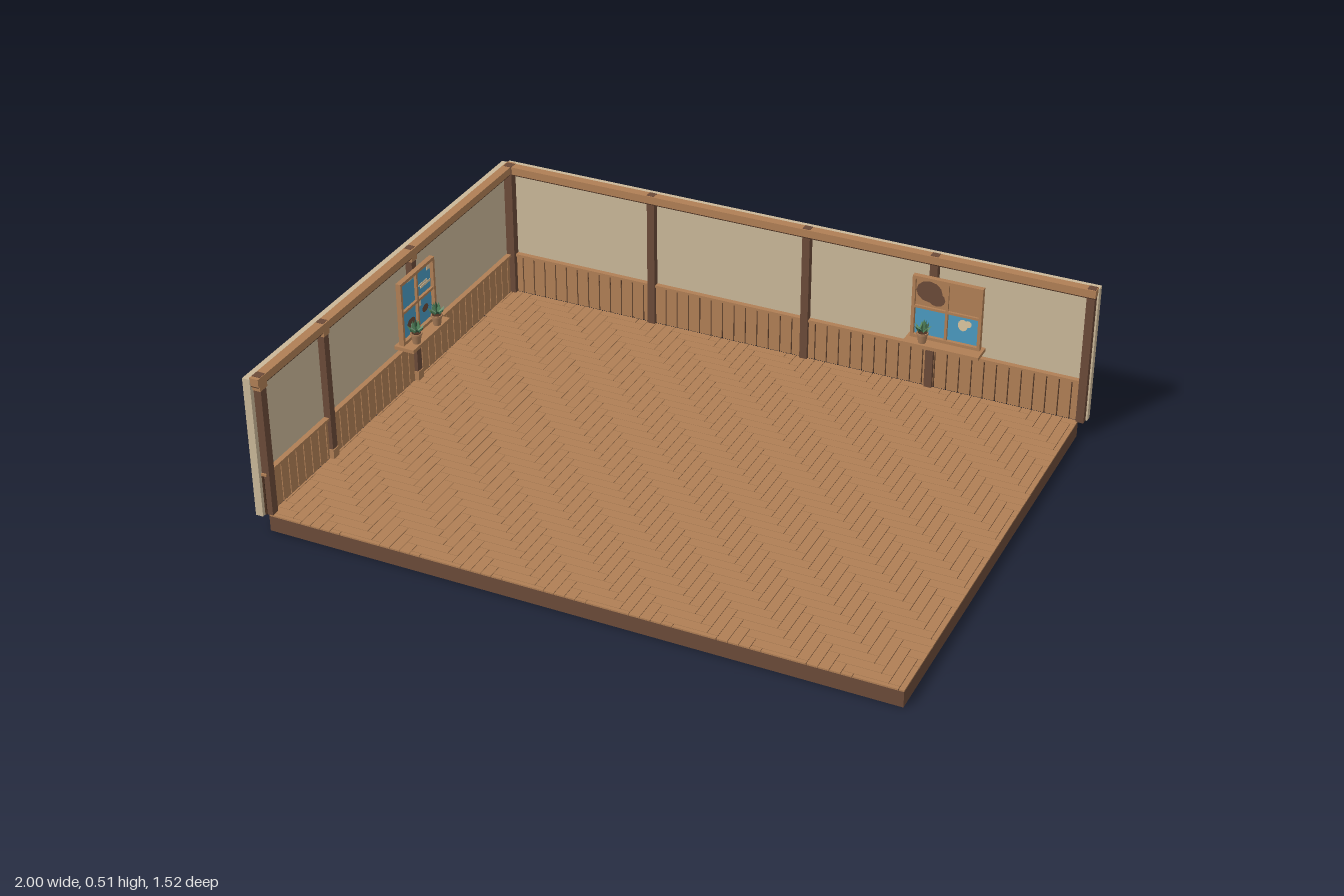
import * as THREE from 'three';
import { mergeGeometries } from 'three/addons/utils/BufferGeometryUtils.js';

const mat = (name, color, side = THREE.FrontSide) => {
  const m = new THREE.MeshStandardMaterial({ color, side });
  m.name = name;
  return m;
};

export function createModel() {
  const room = new THREE.Group();
  room.name = 'room';
  const plaster = mat('plaster', 0xcab798);
  const wood = mat('warm wood', 0xb07f55);
  const dark = mat('dark wood', 0x6b4a38);
  const groove = mat('groove', 0x4a3122);
  const sky = mat('sky blue', 0x4a9ac0);
  const cloud = mat('cloud', 0xdcc6a0);
  const clay = mat('clay', 0xa87c58);
  const leafGreen = mat('leaf green', 0x4f8058, THREE.DoubleSide);
  const leafDark = mat('deep leaf green', 0x33593f, THREE.DoubleSide);

  // Box given by its limits on each axis
  const boxGeo = (x0, x1, y0, y1, z0, z1) =>
    new THREE.BoxGeometry(x1 - x0, y1 - y0, z1 - z0)
      .translate((x0 + x1) / 2, (y0 + y1) / 2, (z0 + z1) / 2);
  const add = (parent, name, geo, material) => {
    const m = new THREE.Mesh(geo, material);
    m.name = name;
    parent.add(m);
    return m;
  };
  const box = (parent, name, material, ...b) => add(parent, name, boxGeo(...b), material);

  // Floor slab and its dark joint layer
  box(room, 'floorBase', dark, -0.965, 0.975, 0, 0.05, -0.725, 0.745);
  box(room, 'floorJoints', groove, -0.962, 0.972, 0.05, 0.0525, -0.722, 0.742);

  // Herringbone planks, four cells long, clipped to the floor
  const W = 0.0325, gap = 0.0009, planks = [];
  const plank = (x, z, w, d) => {
    const x0 = Math.max(x + gap, -0.965), x1 = Math.min(x + w - gap, 0.975);
    const z0 = Math.max(z + gap, -0.725), z1 = Math.min(z + d - gap, 0.745);
    if (x1 - x0 > 0.002 && z1 - z0 > 0.002) planks.push(boxGeo(x0, x1, 0.05, 0.055, z0, z1));
  };
  for (let i = -9; i < 58; i++) {
    for (let j = -40; j < 14; j++) {
      const k = (((i - j) % 8) + 8) % 8;
      const x = -0.8285 + i * W, z = 0.375 + j * W;
      if (k === 0) plank(x, z, 4 * W, W);
      if (k === 7) plank(x, z, W, 4 * W);
    }
  }
  add(room, 'floorPlanks', mergeGeometries(planks), wood);

  // A wall in its own frame: inside faces +z, outer face at z = 0
  function wall(name, x0, x1, postXs, brackets) {
    const g = new THREE.Group();
    g.name = name;
    box(g, 'plasterPanel', plaster, x0, x1, 0.053, 0.508, 0, 0.024);
    box(g, 'wainscotBacking', groove, x0 + 0.012, x1 - 0.012, 0.054, 0.188, 0.024, 0.03);
    const boards = [];
    const n = Math.round((x1 - x0 - 0.03) / 0.04), pitch = (x1 - x0 - 0.03) / n;
    for (let i = 0; i < n; i++) {
      const x = x0 + 0.015 + i * pitch;
      boards.push(boxGeo(x + 0.002, x + pitch - 0.002, 0.054, 0.187, 0.028, 0.034));
    }
    add(g, 'wainscotBoards', mergeGeometries(boards), wood);
    box(g, 'wainscotCap', wood, x0 + 0.01, x1 - 0.01, 0.186, 0.194, 0.024, 0.041);
    box(g, 'topRail', wood, x0 + 0.003, x1 - 0.003, 0.487, 0.512, 0.021, 0.05);
    box(g, 'topRailTrim', groove, x0 + 0.005, x1 - 0.005, 0.483, 0.487, 0.023, 0.048);
    for (const x of postXs) {
      box(g, 'post', dark, x - 0.0125, x + 0.0125, 0.054, 0.513, 0.022, 0.046);
      if (brackets) {
        box(g, 'postHead', wood, x - 0.015, x + 0.015, 0.47, 0.487, 0.023, 0.049);
        box(g, 'postFoot', wood, x - 0.015, x + 0.015, 0.055, 0.086, 0.023, 0.049);
      }
    }
    room.add(g);
    return g;
  }
  const backWall = wall('backWall', -0.98, 1.0, [-0.455, 0.075, 0.492, 0.982], false);
  backWall.position.z = -0.762;
  // Turned so that local x runs towards -z
  const sideWall = wall('sideWall', -0.76, 0.75, [-0.4, 0.1], true);
  sideWall.rotation.y = Math.PI / 2;
  sideWall.position.x = -1;
  box(sideWall, 'endPost', dark, -0.745, -0.718, 0.054, 0.513, 0.022, 0.048);
  box(sideWall, 'endPostHead', wood, -0.75, -0.714, 0.47, 0.487, 0.023, 0.05);
  box(room, 'cornerPost', dark, -0.975, -0.947, 0.054, 0.513, -0.738, -0.711);

  // Window with four panes, frame and sill
  function makeWindow(parent, cx, w) {
    const g = new THREE.Group();
    g.name = 'window';
    g.position.set(cx, 0.338, 0.046);
    parent.add(g);
    const h = w / 2, v = 0.106, f = 0.01;
    box(g, 'skyPane', sky, -h + 0.004, h - 0.004, -v + 0.004, v - 0.004, 0, 0.005);
    for (const s of [-1, 1]) {
      box(g, 'frameSide', wood, s * (h - f / 2) - f / 2, s * (h - f / 2) + f / 2, -v, v, 0, 0.017);
      box(g, 'frameEdge', wood, -h, h, s * (v - f / 2) - f / 2, s * (v - f / 2) + f / 2, 0, 0.017);
    }
    box(g, 'mullion', wood, -0.004, 0.004, -v, v, 0, 0.014);
    box(g, 'transom', wood, -h, h, -0.004, 0.004, 0, 0.014);
    box(g, 'sill', wood, -h - 0.01, h + 0.01, -0.118, -0.106, -0.012, 0.056);
    return g;
  }
  // Thin painted ellipse on a pane
  const spot = (g, name, material, x, y, rx, ry) => {
    const m = add(g, name, new THREE.CircleGeometry(1, 12), material);
    m.scale.set(rx, ry, 1);
    m.position.set(x, y, 0.0072);
  };
  const strip = (g, name, material, x0, x1, y0, y1) => box(g, name, material, x0, x1, y0, y1, 0.004, 0.0065);

  const backWindow = makeWindow(backWall, 0.545, 0.225);
  strip(backWindow, 'upperView', wood, -0.104, 0.104, 0.003, 0.097);
  spot(backWindow, 'tree', dark, -0.06, 0.055, 0.042, 0.036);
  spot(backWindow, 'tree', dark, -0.036, 0.034, 0.028, 0.024);
  spot(backWindow, 'cloud', cloud, 0.052, -0.035, 0.016, 0.02);
  spot(backWindow, 'cloud', cloud, 0.068, -0.028, 0.012, 0.012);

  const sideWindow = makeWindow(sideWall, 0.09, 0.204);
  strip(sideWindow, 'cloud', cloud, -0.04, -0.012, 0.083, 0.094);
  strip(sideWindow, 'cloud', cloud, 0.03, 0.088, 0.026, 0.034);
  strip(sideWindow, 'cloud', cloud, 0.022, 0.07, 0.036, 0.043);
  strip(sideWindow, 'cloud', cloud, 0.07, 0.09, 0.07, 0.09);
  strip(sideWindow, 'cloud', cloud, 0.008, 0.028, -0.03, -0.012);
  spot(sideWindow, 'bush', dark, -0.036, -0.058, 0.024, 0.016);
  spot(sideWindow, 'bush', dark, 0.05, -0.05, 0.018, 0.013);

  // Potted plant: tapered pot, soil and folded pointed leaves
  function leafGeo(len, wid) {
    const g = new THREE.BufferGeometry();
    g.setAttribute('position', new THREE.Float32BufferAttribute([
      0, 0, 0, wid, 0.5 * len, 0.004, 0, len, -0.006,
      0, 0, 0, 0, len, -0.006, -wid, 0.5 * len, 0.004], 3));
    g.computeVertexNormals();
    return g;
  }
  function plant(parent, x, z) {
    const g = new THREE.Group();
    g.name = 'pottedPlant';
    g.position.set(x, 0.232, z);
    parent.add(g);
    add(g, 'pot', new THREE.CylinderGeometry(0.017, 0.012, 0.032, 10).translate(0, 0.016, 0), clay);
    add(g, 'potRim', new THREE.CylinderGeometry(0.019, 0.019, 0.006, 10).translate(0, 0.032, 0), clay);
    add(g, 'soil', new THREE.CylinderGeometry(0.015, 0.015, 0.002, 10).translate(0, 0.0355, 0), groove);
    for (let i = 0; i < 11; i++) {
      const tilt = i < 7 ? 1.05 : 0.45;
      const leaf = add(g, 'leaf', leafGeo(i < 7 ? 0.034 : 0.036, 0.008), i % 3 ? leafGreen : leafDark);
      leaf.position.y = i < 7 ? 0.038 : 0.04;
      leaf.rotation.order = 'YXZ';
      leaf.rotation.set(tilt, i * 0.9 + (i < 7 ? 0 : 0.4), 0);
    }
    add(g, 'stem', new THREE.CylinderGeometry(0.002, 0.002, 0.02, 5).translate(0, 0.044, 0), leafDark);
  }
  plant(backWall, 0.48, 0.083);
  plant(sideWall, 0.025, 0.086);
  plant(sideWall, 0.15, 0.086);

  return room;
}
